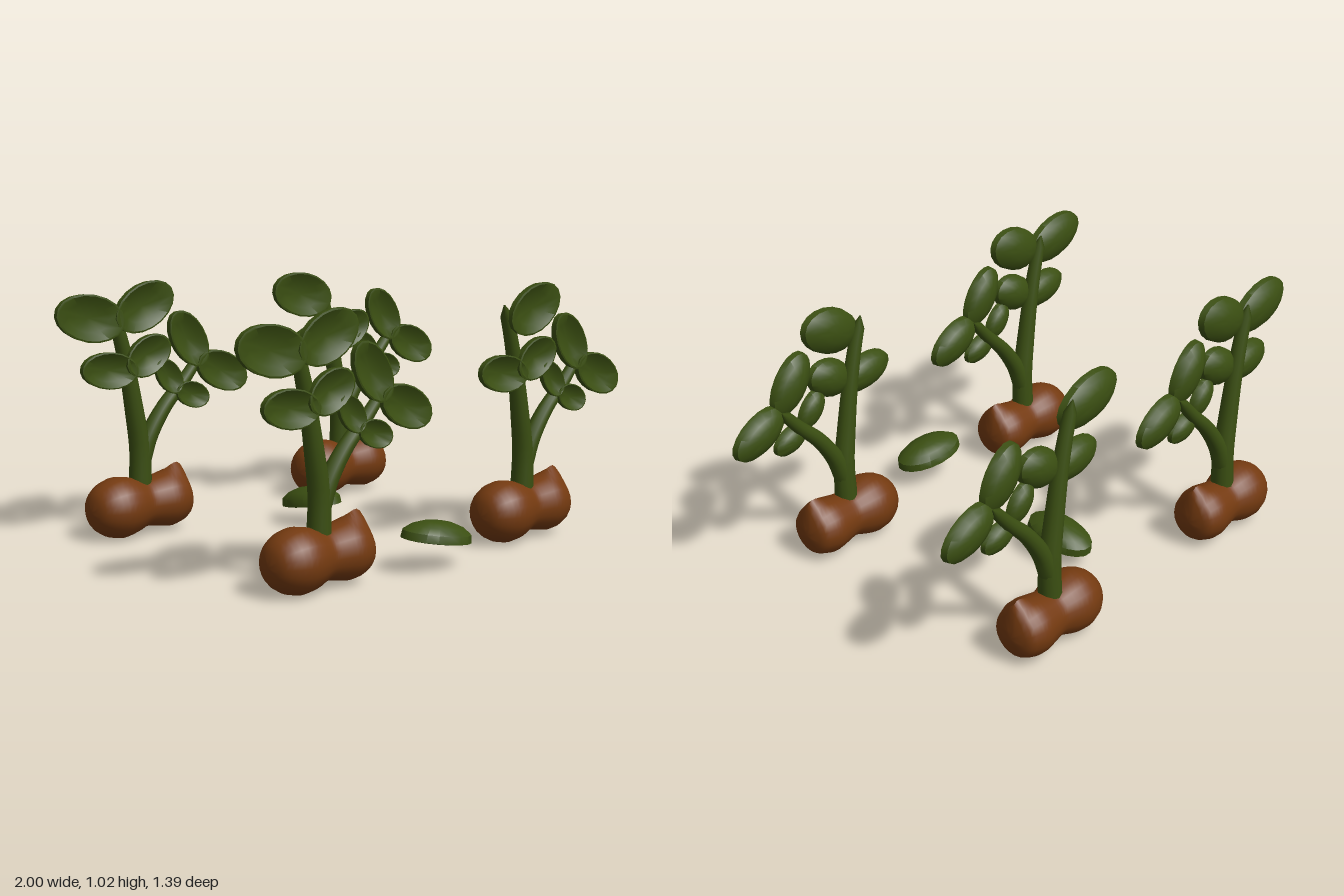
import * as THREE from 'three';
import { toCreasedNormals } from 'three/addons/utils/BufferGeometryUtils.js';

const green = new THREE.MeshStandardMaterial({ color: 0x3b4f12 });
green.name = 'leaf green';
const brown = new THREE.MeshStandardMaterial({ color: 0x743a10 });
brown.name = 'shell brown';

const v2 = (list) => list.map(([x, y]) => new THREE.Vector2(x, y));

function named(name, geometry, material) {
  const mesh = new THREE.Mesh(geometry, material);
  mesh.name = name;
  return mesh;
}

// Oval leaf: long axis x, dished face +z, domed back -z
const leafProfile = v2([
  [0, -0.033], [0.4, -0.03], [0.75, -0.016], [0.97, 0.004],
  [1, 0.03], [0.93, 0.032], [0.6, 0.014], [0, 0.004],
]);
function leaf(name, length, width, thick = 1) {
  const g = new THREE.LatheGeometry(leafProfile, 18);
  g.rotateX(Math.PI / 2);
  g.scale(length / 2, width / 2, thick);
  return named(name, toCreasedNormals(g, 0.7), green);
}

// Tapered round stalk along a smooth path
function stalk(name, points, r0, r1) {
  const curve = new THREE.CatmullRomCurve3(points.map((p) => new THREE.Vector3(...p)));
  const rings = 16, sides = 12;
  const g = new THREE.TubeGeometry(curve, rings, 1, sides);
  const pos = g.attributes.position;
  const v = new THREE.Vector3();
  for (let i = 0; i <= rings; i++) {
    const c = curve.getPointAt(i / rings);
    const r = i === rings ? 0.002 : r0 + (r1 - r0) * (i / rings);
    for (let j = 0; j <= sides; j++) {
      const k = i * (sides + 1) + j;
      v.fromBufferAttribute(pos, k).sub(c).multiplyScalar(r).add(c);
      pos.setXYZ(k, v.x, v.y, v.z);
    }
  }
  return named(name, g, green);
}

// Two-lobed nut lying along x, with a small beak at the +x end
function nutShell() {
  const profile = new THREE.SplineCurve(v2([
    [0, -0.23], [0.065, -0.214], [0.104, -0.17], [0.122, -0.11], [0.115, -0.05],
    [0.098, 0], [0.095, 0.03], [0.104, 0.08], [0.112, 0.13], [0.104, 0.175],
    [0.08, 0.215], [0, 0.235],
  ])).getPoints(28);
  profile[0].x = profile[28].x = 0;
  const g = new THREE.LatheGeometry(profile, 20);
  g.rotateZ(-Math.PI / 2);
  const pos = g.attributes.position;
  for (let i = 0; i < pos.count; i++) {
    const x = pos.getX(i), y = pos.getY(i), z = pos.getZ(i);
    if (y > 0.05) {
      const lift = 0.045 * THREE.MathUtils.smoothstep(x, 0.11, 0.2);
      pos.setY(i, y + lift * Math.max(0, 1 - Math.abs(z) / 0.06));
    }
  }
  g.computeVertexNormals();
  return named('nutShell', toCreasedNormals(g, 1), brown);
}

// name, x, y, length, width, angle in degrees
const leaves = [
  ['topLeafA', -0.245, 0.902, 0.32, 0.185, -13],
  ['topLeafB', 0.01, 0.925, 0.29, 0.185, 21],
  ['middleLeafA', -0.16, 0.69, 0.265, 0.145, -8],
  ['middleLeafB', 0.025, 0.73, 0.225, 0.155, 24],
  ['branchTopLeaf', 0.225, 0.777, 0.265, 0.155, -56],
  ['branchEndLeaf', 0.393, 0.63, 0.27, 0.155, -25],
  ['branchLowLeafA', 0.13, 0.635, 0.17, 0.105, -52],
  ['branchLowLeafB', 0.245, 0.548, 0.17, 0.105, -20],
];

function plant(name, x, z, missing) {
  const group = new THREE.Group();
  group.name = name;
  const nut = nutShell();
  nut.position.y = 0.128;
  group.add(nut);
  group.add(stalk('mainStem', [
    [0.01, 0.19, 0], [0.01, 0.35, 0.002], [-0.015, 0.5, 0.007],
    [-0.05, 0.68, 0.012], [-0.09, 0.83, 0.017], [-0.13, 0.95, 0.02],
  ], 0.047, 0.024));
  group.add(stalk('sideBranch', [
    [0.015, 0.3, 0.002], [0.055, 0.4, 0.005], [0.13, 0.51, 0.01],
    [0.22, 0.6, 0.015], [0.3, 0.69, 0.018],
  ], 0.04, 0.022));
  for (const [part, lx, ly, length, width, angle] of leaves) {
    if (part === missing) continue;
    const m = leaf(part, length, width, length < 0.2 ? 0.75 : 1);
    m.position.set(lx, ly, 0.03);
    m.rotation.z = THREE.MathUtils.degToRad(angle);
    group.add(m);
  }
  group.position.set(x, 0, z);
  return group;
}

// Leaf lying dome-up, turned about y and tipped along its length
function fallenLeaf(name, x, y, z, turn) {
  const group = new THREE.Group();
  group.name = name;
  const m = leaf('fallenBlade', 0.3, 0.19, 1.15);
  m.rotation.x = Math.PI / 2;
  group.add(m);
  group.rotation.order = 'YXZ';
  group.rotation.set(0, turn, -0.17);
  group.position.set(x, y, z);
  return group;
}

export function createModel() {
  const model = new THREE.Group();
  model.name = 'nutPlants';
  model.add(
    plant('frontRightPlant', -0.598, 0.495),
    plant('frontLeftPlant', 0.477, 0.495, 'topLeafA'),
    plant('backRightPlant', -0.598, -0.577),
    plant('backLeftPlant', 0.477, -0.577, 'topLeafB'),
    fallenLeaf('frontFallenLeaf', -0.09, 0.152, 0.598, -0.18),
    fallenLeaf('backFallenLeaf', 0.012, 0.124, -0.228, Math.PI / 2),
  );
  return model;
}
